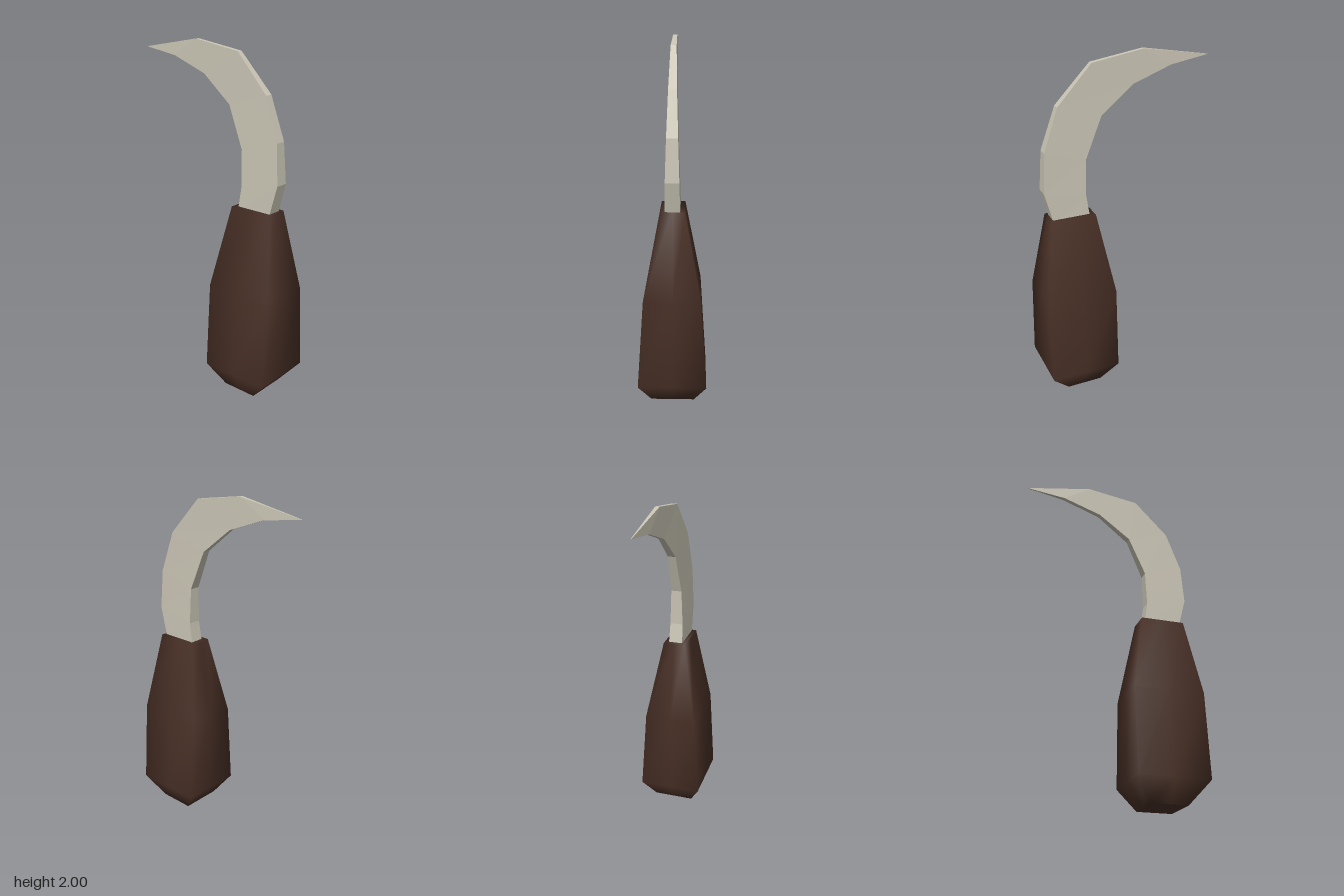
import * as THREE from 'three';

// Skin equal-length rings of points (listed bottom to top) and close both ends.
function loft(rings, smooth) {
  const n = rings[0].length;
  const index = [];
  for (let i = 0; i < rings.length - 1; i++) {
    for (let j = 0; j < n; j++) {
      const k = (j + 1) % n;
      const a = i * n + j, b = i * n + k;
      index.push(a, b, b + n, a, b + n, a + n);
    }
  }
  const top = (rings.length - 1) * n;
  for (let j = 1; j < n - 1; j++) {
    index.push(0, j + 1, j);
    index.push(top, top + j, top + j + 1);
  }
  let geometry = new THREE.BufferGeometry();
  geometry.setAttribute('position', new THREE.Float32BufferAttribute(rings.flat(2), 3));
  geometry.setIndex(index);
  if (!smooth) geometry = geometry.toNonIndexed();
  geometry.computeVertexNormals();
  return geometry;
}

// Rectangular ring with corner and mid-side points.
function boxRing([y, x0, x1, z]) {
  const m = (x0 + x1) / 2;
  return [
    [x0, y, z], [m, y, z], [x1, y, z], [x1, y, 0],
    [x1, y, -z], [m, y, -z], [x0, y, -z], [x0, y, 0],
  ];
}

export function createModel() {
  const group = new THREE.Group();
  const wood = new THREE.MeshStandardMaterial({ color: 0x472f25 });
  wood.name = 'darkWood';
  const steel = new THREE.MeshStandardMaterial({ color: 0xcac5b5 });
  steel.name = 'paleSteel';

  // Handle: y, left x, right x, half depth
  const handleRows = [
    [0, 0.2, 0.41, 0.12],
    [0.13, 0.107, 0.522, 0.188],
    [0.63, 0.105, 0.52, 0.155],
    [1.105, 0.19, 0.45, 0.066],
  ];
  const handle = new THREE.Mesh(loft(handleRows.map(boxRing), true), wood);
  handle.name = 'handle';

  // Curved blade: inner x, inner y, outer x, outer y, half thickness
  const bladeRows = [
    [0.215, 1.08, 0.43, 1.08, 0.042],
    [0.235, 1.22, 0.48, 1.27, 0.038],
    [0.228, 1.43, 0.465, 1.5, 0.031],
    [0.13, 1.665, 0.38, 1.74, 0.023],
    [-0.06, 1.815, 0.18, 1.953, 0.016],
    [-0.29, 1.897, -0.125, 2.0, 0.012],
    [-0.522, 1.93, -0.52, 1.932, 0.002],
  ];
  const bladeRings = bladeRows.map(([ix, iy, ox, oy, t]) => [
    [ix, iy, t], [ox, oy, t], [ox, oy, -t], [ix, iy, -t],
  ]);
  const blade = new THREE.Mesh(loft(bladeRings, false), steel);
  blade.name = 'blade';

  group.add(handle, blade);
  return group;
}
